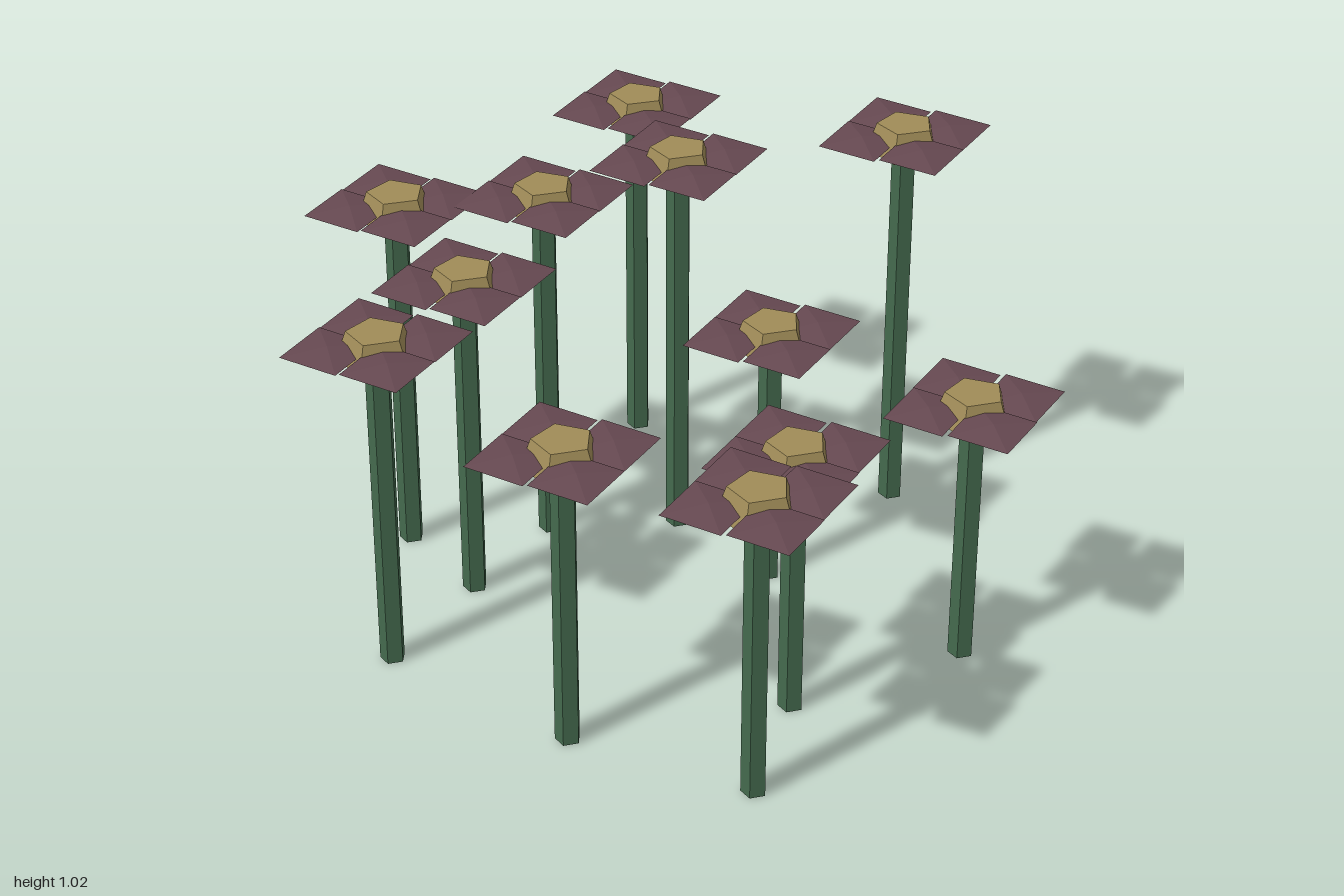
import * as THREE from 'three';

const stemMat = new THREE.MeshStandardMaterial({ color: 0x446a4e, flatShading: true });
stemMat.name = 'stem green';
const petalMat = new THREE.MeshStandardMaterial({ color: 0x654850, flatShading: true });
petalMat.name = 'petal plum';
const heartMat = new THREE.MeshStandardMaterial({ color: 0xa08c58, flatShading: true });
heartMat.name = 'flower centre ochre';

// x, z and total height of each flower
const FLOWERS = [
  [0.155, -0.80, 0.94], [-0.53, -0.42, 0.94], [-0.19, -0.37, 0.94], [0.12, -0.31, 1.02],
  [0.67, -0.29, 1.02], [-0.43, -0.16, 0.857], [0.26, -0.02, 0.692], [-0.68, 0.08, 0.857],
  [-0.37, 0.50, 0.773], [0.145, 0.515, 0.692], [0.59, 0.42, 0.692], [-0.03, 0.797, 0.773],
];
const HEAD = 0.068;

function part(name, geometry, material, parent) {
  const mesh = new THREE.Mesh(geometry, material);
  mesh.name = name;
  parent.add(mesh);
  return mesh;
}

export function createModel() {
  const model = new THREE.Group();
  model.name = 'flowerPatch';

  // five-sided centre, one corner pointing back
  const heartGeo = new THREE.CylinderGeometry(0.068, 0.091, HEAD, 5).rotateY(Math.PI);

  // thin diamond petal, leaning towards the front
  const petalGeo = new THREE.ConeGeometry(1, 0.014, 4)
    .translate(0, 0.007, 0)
    .scale(0.105, 1, 0.092)
    .rotateX(0.13);

  for (const [x, z, height] of FLOWERS) {
    const flower = new THREE.Group();
    flower.name = 'flower';
    flower.position.set(x, 0, z);
    model.add(flower);

    const stemHeight = height - HEAD / 2;
    const stemGeo = new THREE.CylinderGeometry(0.03, 0.03, stemHeight, 5).rotateY(Math.PI);
    part('stem', stemGeo, stemMat, flower).position.y = stemHeight / 2;

    part('flowerCentre', heartGeo, heartMat, flower).position.y = height - HEAD / 2;

    // four petals in a cross
    for (const [dx, dz] of [[1, 0], [-1, 0], [0, 1], [0, -1]]) {
      part('petal', petalGeo, petalMat, flower).position.set(dx * 0.11, height - 0.032, dz * 0.11);
    }
  }
  return model;
}
